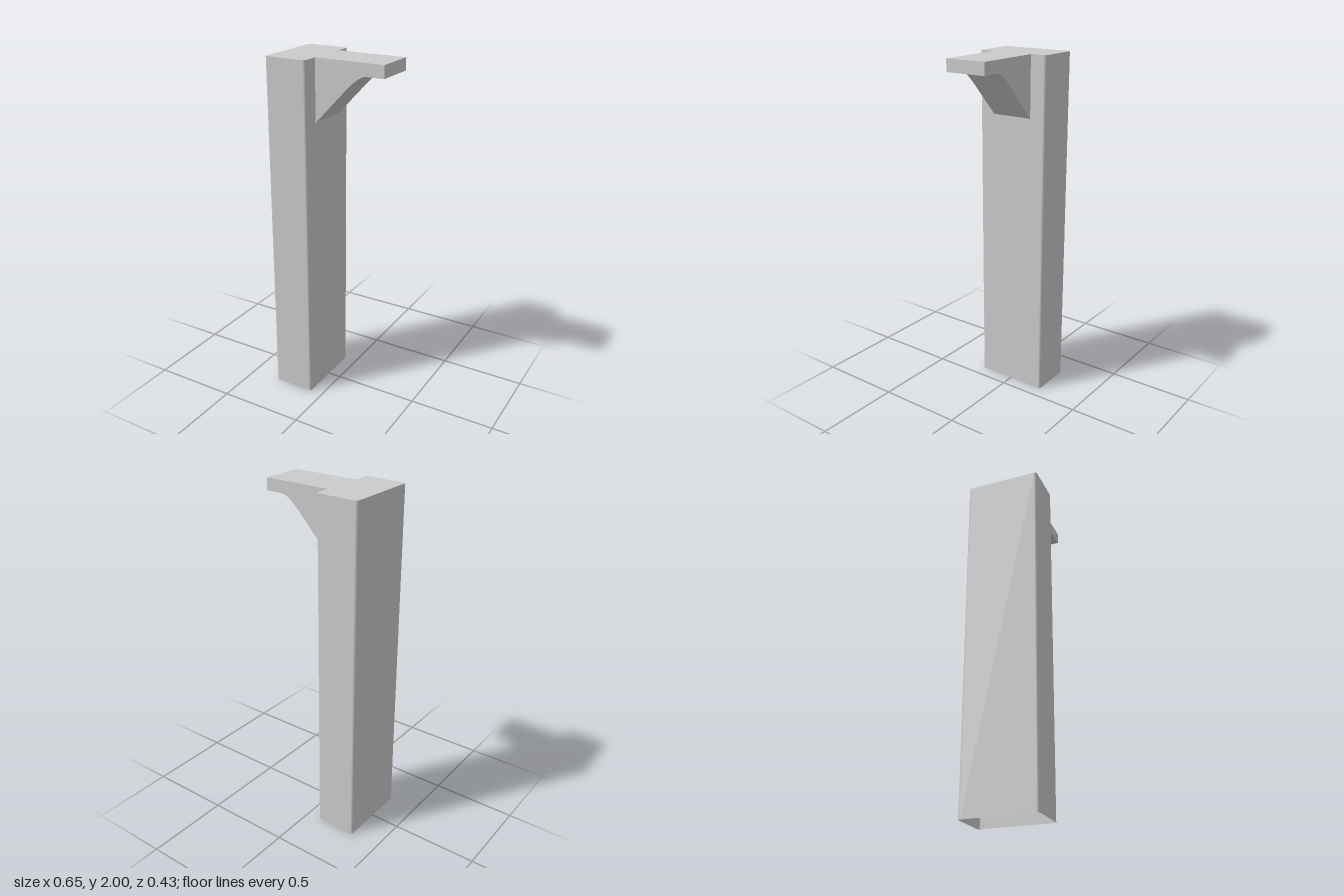
import * as THREE from 'three';
import { toCreasedNormals } from 'three/addons/utils/BufferGeometryUtils.js';

const HEIGHT = 2;
const X0 = -0.325, X1 = -0.077, HALF_Z = 0.217, RADIUS = 0.015;
const ARM_END = 0.325, ARM_HALF_Z = 0.122;

// Rounded rectangle in plan, as points [x, z] with outward normals
function columnOutline(steps = 5) {
  const cx = (X0 + X1) / 2, hx = (X1 - X0) / 2 - RADIUS, hz = HALF_Z - RADIUS;
  const corners = [[1, 1], [-1, 1], [-1, -1], [1, -1]];
  const out = [];
  corners.forEach(([sx, sz], i) => {
    for (let k = 0; k <= steps; k++) {
      const a = (i + k / steps) * Math.PI / 2;
      const nx = Math.cos(a), nz = Math.sin(a);
      out.push({ x: cx + sx * hx + RADIUS * nx, z: sz * hz + RADIUS * nz, nx, nz });
    }
  });
  return out;
}

// Column walls, open at the bottom
function wallGeometry(outline) {
  const pos = [], nor = [], idx = [];
  const n = outline.length;
  outline.forEach((p, i) => {
    pos.push(p.x, 0, p.z, p.x, HEIGHT, p.z);
    nor.push(p.nx, 0, p.nz, p.nx, 0, p.nz);
    const a = 2 * i, b = 2 * ((i + 1) % n);
    idx.push(a, a + 1, b, b, a + 1, b + 1);
  });
  const g = new THREE.BufferGeometry();
  g.setAttribute('position', new THREE.Float32BufferAttribute(pos, 3));
  g.setAttribute('normal', new THREE.Float32BufferAttribute(nor, 3));
  g.setIndex(idx);
  return g;
}

export function createModel() {
  const group = new THREE.Group();
  const solid = new THREE.MeshStandardMaterial({ color: 0xcccccc });
  const shell = new THREE.MeshStandardMaterial({ color: 0xcccccc, side: THREE.DoubleSide });
  const add = (name, geometry, material) => {
    const mesh = new THREE.Mesh(geometry, material);
    mesh.name = name;
    group.add(mesh);
  };

  // Hollow column with a flat top
  const outline = columnOutline();
  add('columnWalls', wallGeometry(outline), shell);
  const cap = new THREE.ShapeGeometry(
    new THREE.Shape(outline.map((p) => new THREE.Vector2(p.x, -p.z))));
  cap.rotateX(-Math.PI / 2).translate(0, HEIGHT, 0);
  add('columnTop', cap, shell);

  // Bracket arm: sloping brace that curves into a thin ledge
  const profile = new THREE.Shape();
  profile.moveTo(X1, HEIGHT);
  profile.lineTo(X1, 1.655);
  profile.lineTo(0.1, 1.843);
  profile.quadraticCurveTo(0.183, 1.931, 0.225, 1.931);
  profile.lineTo(ARM_END, 1.931);
  profile.lineTo(ARM_END, HEIGHT);
  const arm = new THREE.ExtrudeGeometry(profile, {
    depth: 2 * ARM_HALF_Z, bevelEnabled: false, curveSegments: 16,
  });
  arm.translate(0, 0, -ARM_HALF_Z);
  add('bracketArm', toCreasedNormals(arm, 0.5), solid);

  return group;
}
